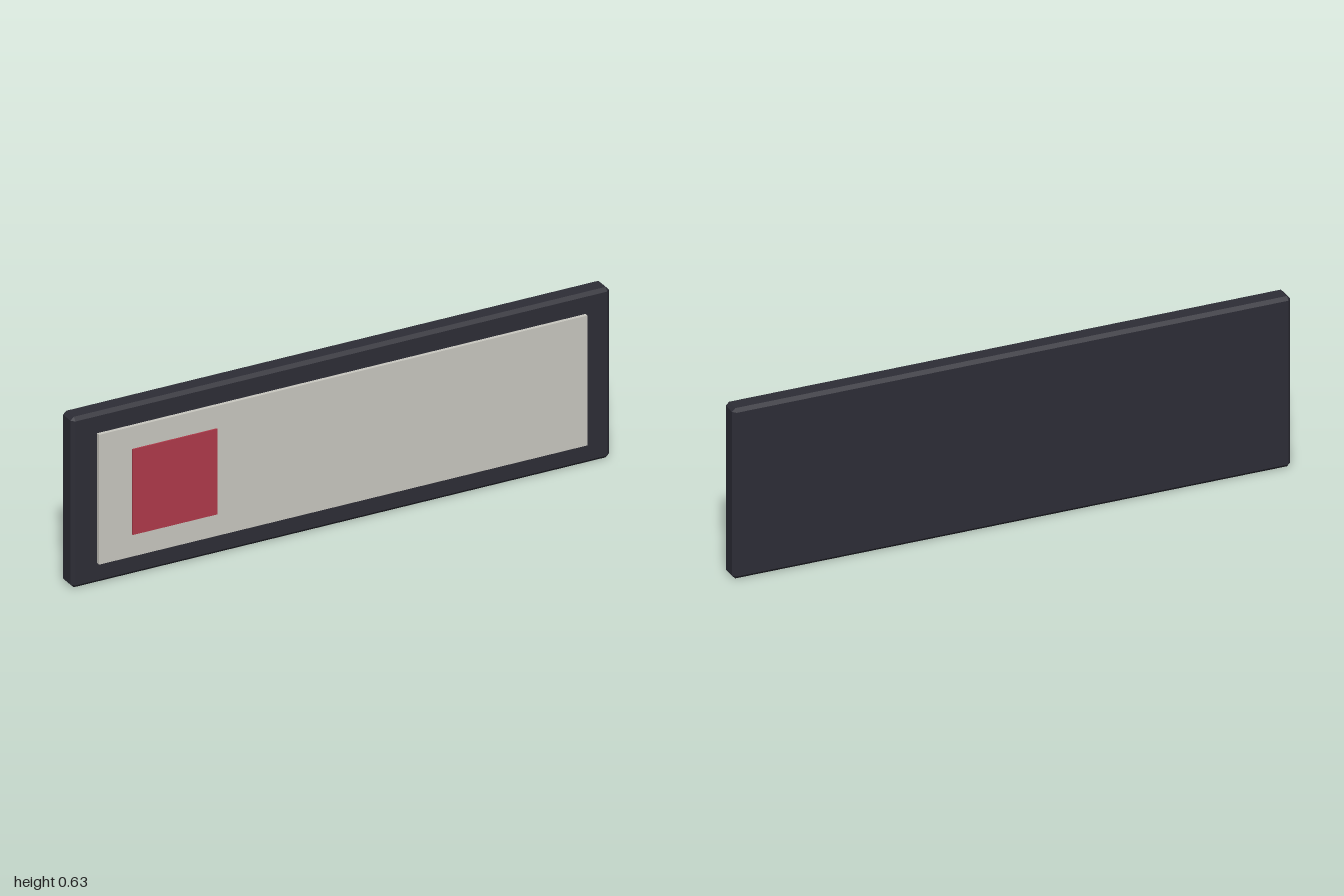
import * as THREE from 'three';
import { ConvexGeometry } from 'three/addons/geometries/ConvexGeometry.js';

const HEIGHT = 0.626;

const material = (name, color) => {
  const m = new THREE.MeshStandardMaterial({ color });
  m.name = name;
  return m;
};

// Box with every edge cut by a flat chamfer
function chamferedBox(w, h, d, c) {
  const points = [];
  for (const sx of [-1, 1]) for (const sy of [-1, 1]) for (const sz of [-1, 1]) {
    const x = w / 2, y = h / 2, z = d / 2;
    points.push(
      new THREE.Vector3(sx * x, sy * (y - c), sz * (z - c)),
      new THREE.Vector3(sx * (x - c), sy * y, sz * (z - c)),
      new THREE.Vector3(sx * (x - c), sy * (y - c), sz * z)
    );
  }
  return new ConvexGeometry(points);
}

export function createModel() {
  const group = new THREE.Group();
  group.name = 'wallSign';

  const add = (name, geometry, mat, x, z) => {
    const mesh = new THREE.Mesh(geometry, mat);
    mesh.name = name;
    mesh.position.set(x, HEIGHT / 2, z);
    group.add(mesh);
  };

  // Dark backing board
  add('backBoard', chamferedBox(2, HEIGHT, 0.074, 0.012), material('charcoal', 0x2d2d36), 0, -0.009);

  // Pale face panel, seated slightly into the board
  add('facePanel', new THREE.BoxGeometry(1.815, 0.477, 0.022), material('paleGrey', 0xc9c8c0), 0, 0.03);

  // Raised red square on the panel
  add('redSquare', new THREE.BoxGeometry(0.314, 0.314, 0.008), material('crimson', 0xb03a4a), -0.627, 0.042);

  return group;
}
